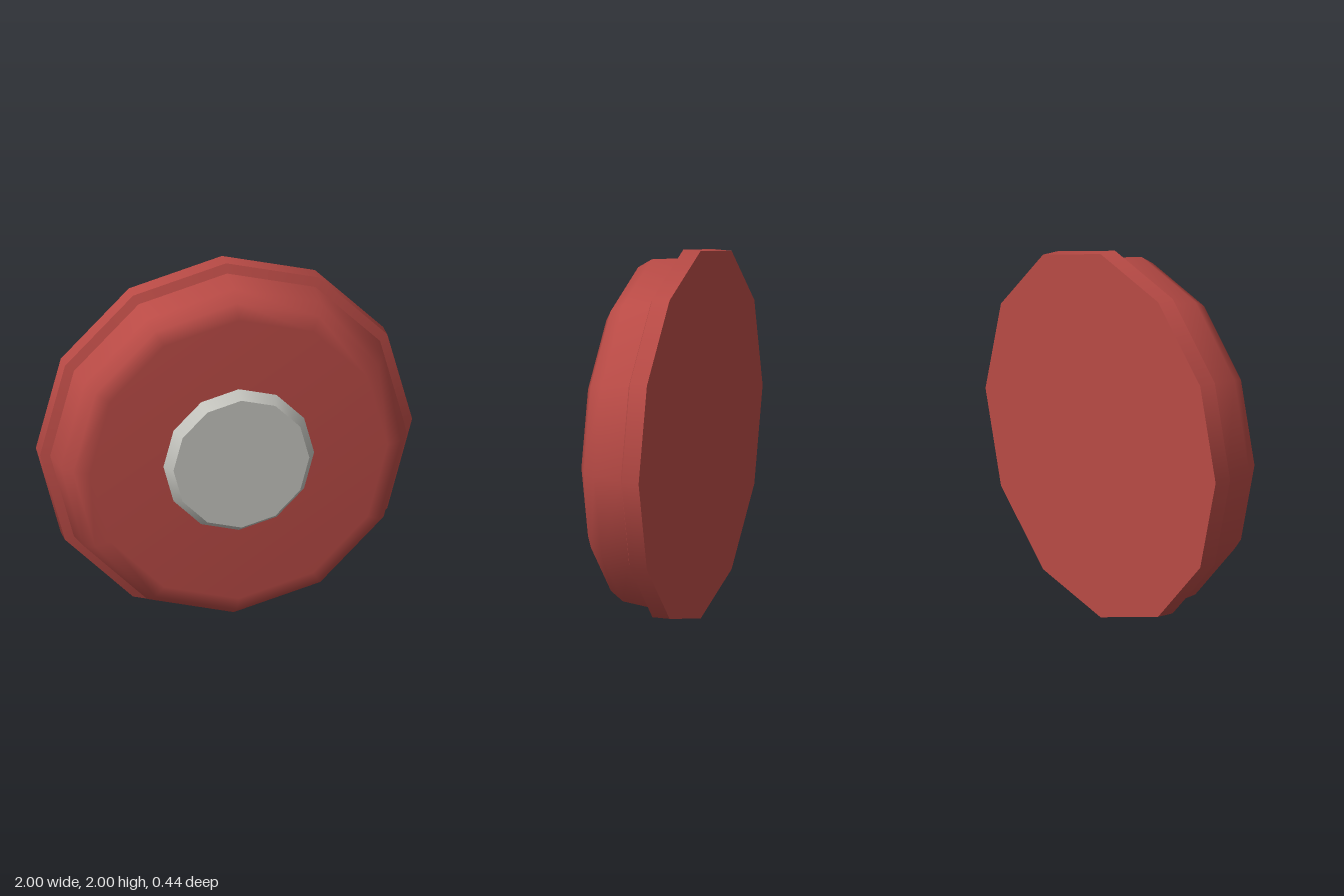
import * as THREE from 'three';

const SIDES = 12;

export function createModel() {
  const red = new THREE.MeshStandardMaterial({ color: 0xb84a45 });
  red.name = 'red';
  const grey = new THREE.MeshStandardMaterial({ color: 0xc4c4be });
  grey.name = 'light grey';

  const model = new THREE.Group();
  model.name = 'roundButton';

  // Turns a [radius, z] profile, listed back to front, around the z axis.
  // Each call is smooth within itself and creased against its neighbours.
  function turned(name, material, profile) {
    const points = profile.map(([r, z]) => new THREE.Vector2(r, z));
    const geometry = new THREE.LatheGeometry(points, SIDES);
    geometry.rotateX(Math.PI / 2);
    const mesh = new THREE.Mesh(geometry, material);
    mesh.name = name;
    mesh.position.y = 1;
    model.add(mesh);
  }

  // Base plate: flat back, straight rim and a sloping front lip
  turned('baseBack', red, [[0, -0.22], [1, -0.22]]);
  turned('baseRim', red, [[1, -0.22], [1, -0.125]]);
  turned('baseLip', red, [[1, -0.125], [0.95, -0.105]]);

  // Rounded body with a softly shaded front
  turned('body', red, [[0.95, -0.105], [0.93, 0.05], [0.88, 0.125], [0.8, 0.165], [0, 0.165]]);

  // Raised centre hub
  turned('hubSide', grey, [[0.405, 0.165], [0.365, 0.225]]);
  turned('hubFace', grey, [[0.365, 0.225], [0, 0.225]]);

  return model;
}
